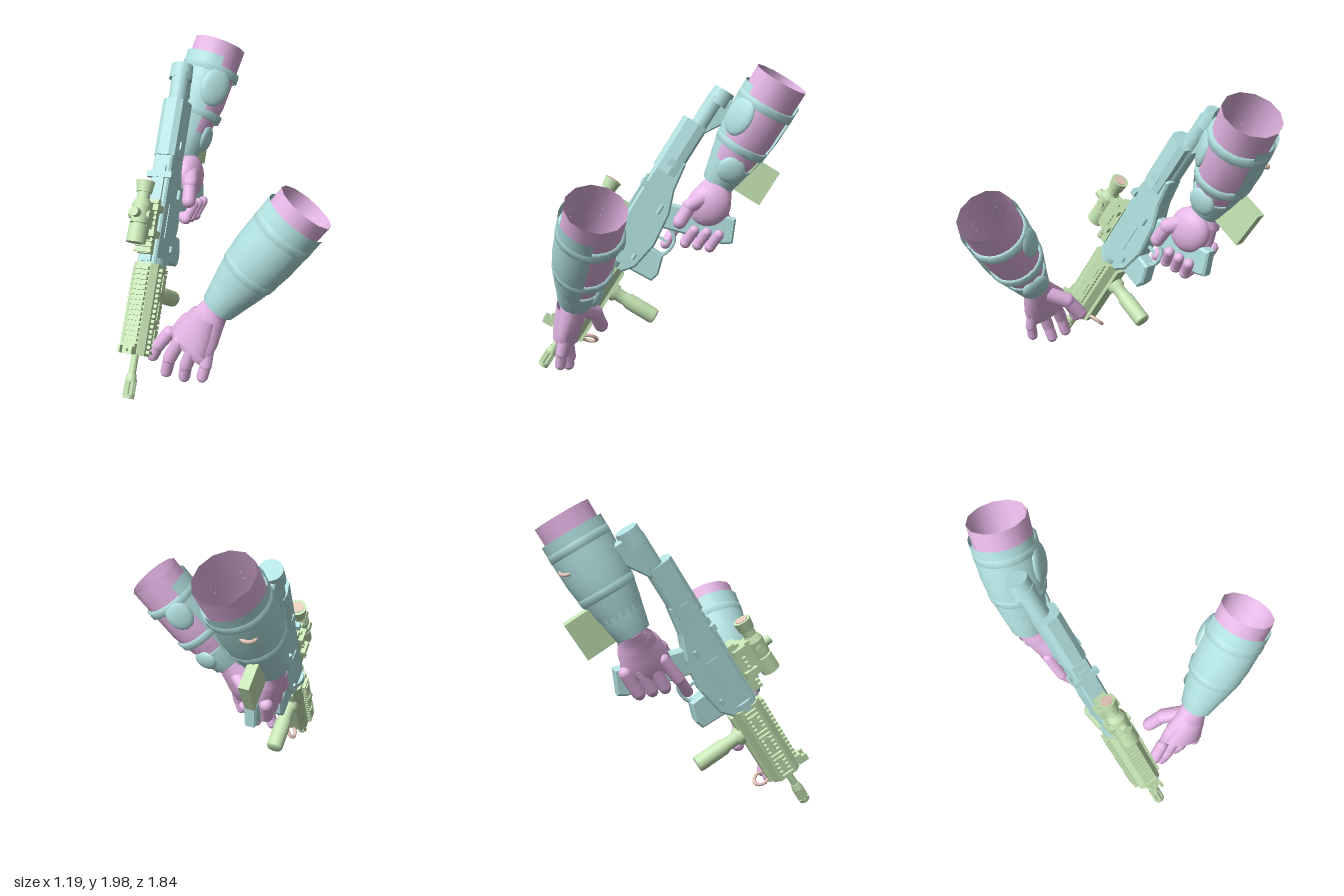
import * as THREE from 'three';

const V = (x, y, z) => new THREE.Vector3(x, y, z);
const mat = (name, color) => {
  const m = new THREE.MeshStandardMaterial({ color, side: THREE.DoubleSide });
  m.name = name;
  return m;
};

export function createModel() {
  const teal = mat('teal', 0xb2e1e1), pink = mat('pink', 0xe7b8e7);
  const green = mat('green', 0xc5e4b3), tan = mat('tan', 0xefcec0);
  const model = new THREE.Group();
  const add = (parent, name, geo, m, x = 0, y = 0, z = 0) => {
    const mesh = new THREE.Mesh(geo, m);
    mesh.name = name;
    mesh.position.set(x, y, z);
    parent.add(mesh);
    return mesh;
  };

  // Skin over elliptical rings [centre, radius along wide, other radius]
  const loft = (rings, wide, a0 = 0, a1 = Math.PI * 2, n = 18) => {
    const w = rings[rings.length - 1][0].clone().sub(rings[0][0]).normalize();
    const u = wide.clone().addScaledVector(w, -wide.dot(w)).normalize();
    const v = w.clone().cross(u);
    const full = a1 - a0 > 6.28, cols = full ? n : n + 1, pos = [], idx = [];
    for (const [c, r1, r2] of rings) for (let j = 0; j < cols; j++) {
      const a = a0 + (a1 - a0) * j / n;
      const p = c.clone().addScaledVector(u, r1 * Math.cos(a)).addScaledVector(v, r2 * Math.sin(a));
      pos.push(p.x, p.y, p.z);
    }
    for (let i = 0; i < rings.length - 1; i++) for (let j = 0; j < n; j++) {
      const k = (j + 1) % cols, a = i * cols + j, b = i * cols + k;
      idx.push(a, b, a + cols, b, b + cols, a + cols);
    }
    const g = new THREE.BufferGeometry();
    g.setAttribute('position', new THREE.Float32BufferAttribute(pos, 3));
    g.setIndex(idx);
    g.computeVertexNormals();
    return g;
  };

  // Finger made of tapering capsules
  const finger = (parent, name, pts, r) => {
    for (let i = 0; i < pts.length - 1; i++) {
      const d = pts[i + 1].clone().sub(pts[i]), c = pts[i].clone().addScaledVector(d, 0.5);
      const f = add(parent, name, new THREE.CapsuleGeometry(r * (1 - 0.09 * i), d.length(), 5, 10), pink, c.x, c.y, c.z);
      f.quaternion.setFromUnitVectors(V(0, 1, 0), d.normalize());
    }
  };

  // Forearm with partial guard over an arc, cuff, straps and pads [along, around, length, width]
  const forearm = (name, wrist, elbow, open, guardEnd, arc, pads) => {
    const g = new THREE.Group();
    g.name = name;
    model.add(g);
    const at = t => wrist.clone().lerp(elbow, t);
    const prof = [[0, 0.085], [0.12, 0.1], [0.3, 0.143], [0.5, 0.171], [0.7, 0.174], [1, 0.178]];
    const rad = t => {
      const i = Math.max(1, prof.findIndex(p => p[0] >= t));
      const [t0, r0] = prof[i - 1], [t1, r1] = prof[i];
      return r0 + (r1 - r0) * (t - t0) / (t1 - t0);
    };
    const axis = elbow.clone().sub(wrist).normalize();
    const out = open.clone().addScaledVector(axis, -open.dot(axis)).normalize();
    const side = axis.clone().cross(out), back = out.clone().negate();
    const ring = (t, extra) => [at(t), rad(t) + extra, rad(t) + extra];
    add(g, 'sleeve', loft(prof.map(p => ring(p[0], 0)), out, 0, Math.PI * 2, 12), pink);
    add(g, 'guard', loft([0.1, 0.25, 0.4, 0.55, 0.7, guardEnd].map(t => ring(t, 0.018)), back, arc[0], arc[1], 20), teal);
    const band = (nm, t0, t1, th) =>
      add(g, nm, loft([ring(t0, 0), ring(t0 + 0.005, th), ring(t1 - 0.005, th), ring(t1, 0)], out), teal);
    band('cuff', 0.03, 0.24, 0.018);
    band('lowerStrap', 0.36, 0.43, 0.021);
    band('upperStrap', 0.73, 0.8, 0.021);
    for (const [t, s, l, w] of pads) {
      const n = out.clone().multiplyScalar(Math.cos(s)).addScaledVector(side, Math.sin(s));
      const p = at(t).addScaledVector(n, rad(t) + 0.004);
      const pad = add(g, 'pad', new THREE.SphereGeometry(1, 14, 10, 0, Math.PI), teal, p.x, p.y, p.z);
      pad.scale.set(w, l, 0.035);
      pad.quaternion.setFromRotationMatrix(new THREE.Matrix4().makeBasis(axis.clone().cross(n), axis, n));
    }
    return g;
  };

  forearm('leftForearm', V(-0.035, 0.61, 0.54), V(0.425, 1.28, 0.74), V(0.7, -0.4, -0.6), 0.9, [-1.95, 1.95],
    [[0.67, 0.75, 0.11, 0.085], [0.2, 0, 0.08, 0.09]]);
  const rightArm = forearm('rightForearm', V(0.08, 1.2, -0.55), V(0.435, 1.905, -0.76), V(0.72, -0.3, 0.6), 0.87, [-2.2, 2.1],
    [[0.62, -0.95, 0.13, 0.1], [0.22, -0.1, 0.09, 0.09]]);
  add(rightArm, 'guardRing', new THREE.TorusGeometry(0.048, 0.011, 6, 16), tan, 0.335, 1.6, -0.83).rotation.x = 1.15;

  // Left hand, open and pointing down
  const left = new THREE.Group();
  left.name = 'leftHand';
  model.add(left);
  const across = V(-0.6, 0.1, -0.78);
  add(left, 'palm', loft([
    [V(-0.02, 0.64, 0.54), 0.08, 0.08], [V(-0.065, 0.56, 0.525), 0.105, 0.082],
    [V(-0.125, 0.46, 0.5), 0.15, 0.076], [V(-0.175, 0.37, 0.48), 0.16, 0.064], [V(-0.2, 0.33, 0.475), 0.125, 0.028],
  ], across), pink);
  add(left, 'backPlate', loft([
    [V(-0.085, 0.58, 0.535), 0.085, 0.083], [V(-0.14, 0.47, 0.515), 0.12, 0.081], [V(-0.185, 0.39, 0.5), 0.135, 0.069],
  ], across), pink);
  finger(left, 'indexFinger', [V(-0.27, 0.41, 0.37), V(-0.33, 0.32, 0.34), V(-0.36, 0.24, 0.315)], 0.042);
  finger(left, 'middleFinger', [V(-0.23, 0.38, 0.44), V(-0.28, 0.26, 0.41), V(-0.295, 0.155, 0.385)], 0.042);
  finger(left, 'ringFinger', [V(-0.17, 0.36, 0.52), V(-0.2, 0.24, 0.49), V(-0.205, 0.15, 0.465)], 0.041);
  finger(left, 'littleFinger', [V(-0.09, 0.38, 0.575), V(-0.11, 0.28, 0.59), V(-0.13, 0.2, 0.585)], 0.038);
  finger(left, 'thumb', [V(-0.06, 0.55, 0.47), V(-0.09, 0.49, 0.34), V(-0.13, 0.38, 0.26)], 0.05);

  // Rifle frame: x runs from muzzle to stock, y is its top, z its side
  const gun = new THREE.Group();
  gun.name = 'rifle';
  const ax = V(0.304, 0.845, -0.44).normalize(), up = V(-0.583, 0.528, 0.615);
  up.addScaledVector(ax, -up.dot(ax)).normalize();
  gun.quaternion.setFromRotationMatrix(new THREE.Matrix4().makeBasis(ax, up, ax.clone().cross(up)));
  gun.position.set(-0.55, 0.03, 0.42);
  model.add(gun);
  const box = (name, m, x0, x1, y0, y1, z0, z1) =>
    add(gun, name, new THREE.BoxGeometry(x1 - x0, y1 - y0, z1 - z0), m, (x0 + x1) / 2, (y0 + y1) / 2, (z0 + z1) / 2);
  const rod = (name, m, x0, x1, r0, r1 = r0, y = 0, n = 18, z = 0) =>
    add(gun, name, new THREE.CylinderGeometry(r1, r0, x1 - x0, n).rotateZ(-Math.PI / 2), m, (x0 + x1) / 2, y, z);
  const shape = pts => new THREE.Shape(pts.map(p => new THREE.Vector2(p[0], p[1])));
  const slab = (name, m, pts, w, z = 0) => {
    const b = Math.min(0.012, w / 5);
    return add(gun, name, new THREE.ExtrudeGeometry(shape(pts), { depth: w - 2 * b, bevelSize: b, bevelThickness: b, bevelSegments: 1 })
      .translate(0, 0, b - w / 2), m, 0, 0, z);
  };
  const bar = (name, m, pts, x0, x1) =>
    add(gun, name, new THREE.ExtrudeGeometry(shape(pts), { depth: x1 - x0, bevelEnabled: false }).rotateY(Math.PI / 2), m, x0);

  // Barrel and slotted muzzle
  rod('barrel', green, 0.1, 0.3, 0.023);
  rod('muzzle', green, 0, 0.025, 0.034, 0.037);
  rod('muzzleCore', green, 0.01, 0.12, 0.026);
  rod('muzzleCollar', green, 0.105, 0.15, 0.037, 0.028);
  for (let i = 0; i < 6; i++) {
    const a = i * Math.PI / 3;
    rod('muzzleProng', green, 0.02, 0.115, 0.012, 0.012, Math.cos(a) * 0.026, 6, Math.sin(a) * 0.026);
  }

  // Eight sided handguard with toothed rails and a smooth underside
  bar('handguard', green, [[-0.045, -0.11], [0.045, -0.11], [0.082, -0.07], [0.082, 0.05], [0.045, 0.085], [-0.045, 0.085], [-0.082, 0.05], [-0.082, -0.07]], 0.265, 0.83);
  box('bottomCover', green, 0.28, 0.81, -0.132, -0.105, -0.045, 0.045);
  for (let i = 0; i < 17; i++) {
    const x = 0.28 + i * 0.0315, e = x + 0.02;
    box('topTooth', green, x, e, 0.08, 0.108, -0.042, 0.042);
    for (const k of [-1, 1]) box('sideTooth', green, x, e, -0.05, 0.03, k * 0.09 - 0.014, k * 0.09 + 0.014);
  }
  for (const k of [-1, 1]) for (let i = 0; i < 3; i++)
    box('coverPlate', green, 0.32 + i * 0.17, 0.43 + i * 0.17, -0.03, 0.005, k * 0.105 - 0.004, k * 0.105 + 0.004);
  // Front sight, foregrip and sling loop
  box('sightBase', green, 0.265, 0.33, 0.09, 0.125, -0.045, 0.045);
  for (const k of [-1, 1]) box('sightWing', green, 0.265, 0.31, 0.11, 0.16, k * 0.04 - 0.008, k * 0.04 + 0.008);
  box('sightPost', green, 0.28, 0.295, 0.12, 0.15, -0.007, 0.007);
  add(gun, 'foregrip', new THREE.LatheGeometry([[0, -0.46], [0.045, -0.46], [0.053, -0.445], [0.053, -0.26], [0.043, -0.235], [0.043, -0.17], [0.058, -0.16], [0.058, -0.12]]
    .map(p => new THREE.Vector2(...p)), 20), green, 0.668, 0, -0.012);
  const loop = add(gun, 'slingLoop', new THREE.TorusGeometry(0.045, 0.012, 6, 16), tan, 0.32, -0.165, 0);
  loop.quaternion.setFromUnitVectors(V(0, 0, 1), V(-0.66, -0.35, 0.66).normalize());
  loop.scale.set(0.85, 1.2, 1);

  // Receiver, magazine well and controls
  slab('receiver', teal, [[0.83, -0.1], [0.83, 0.055], [1.5, 0.06], [1.62, 0.04], [1.62, -0.08], [1.45, -0.105], [1.3, -0.16], [1.08, -0.185], [0.9, -0.155]], 0.125);
  rod('barrelNut', teal, 0.81, 0.87, 0.085, 0.085, -0.01);
  slab('magazineWell', teal, [[0.87, -0.1], [1.05, -0.1], [1.04, -0.275], [0.93, -0.31], [0.88, -0.295]], 0.1);
  box('topRib', teal, 0.84, 1.45, 0.05, 0.085, -0.035, 0.035);
  box('chargingHandle', teal, 1.37, 1.41, 0.055, 0.09, -0.085, 0.085);
  for (const k of [-1, 1]) {
    box('sidePanel', teal, 1.0, 1.22, -0.08, 0.0, k * 0.064 - 0.004, k * 0.064 + 0.004);
    rod('selector', teal, 1.27, 1.33, 0.012, 0.012, -0.1, 8, k * 0.07);
    rod('pin', teal, 0.93, 0.97, 0.012, 0.012, -0.12, 8, k * 0.066);
  }
  add(gun, 'triggerGuard', new THREE.TubeGeometry(new THREE.CatmullRomCurve3([V(1.03, -0.22, 0), V(1.06, -0.285, 0), V(1.17, -0.295, 0), V(1.25, -0.19, 0)]), 14, 0.013, 6), teal);
  box('trigger', teal, 1.13, 1.145, -0.26, -0.18, -0.01, 0.01);
  slab('pistolGrip', teal, [[1.2, -0.14], [1.35, -0.14], [1.49, -0.55], [1.36, -0.61], [1.33, -0.57]], 0.075);

  // Stock with cheek piece and round end
  rod('stockTube', teal, 1.5, 2.1, 0.058, 0.058, -0.035, 18, -0.02);
  bar('cheekPiece', teal, [[-0.075, -0.07], [0.075, -0.07], [0.085, -0.02], [0.07, 0.06], [0.035, 0.085], [-0.035, 0.085], [-0.07, 0.06], [-0.085, -0.02]], 1.52, 1.89);
  box('cheekSlot', teal, 1.57, 1.62, -0.03, 0.02, -0.088, 0.088);
  rod('stockCap', teal, 2.06, 2.16, 0.076, 0.07, -0.055, 18, -0.03);
  slab('buttPlate', teal, [[1.98, -0.03], [2.12, -0.03], [2.12, -0.2], [2.06, -0.2], [1.86, -0.08]], 0.09, -0.03);

  // Sight on a toothed riser
  box('riser', green, 0.88, 1.22, 0.08, 0.13, -0.045, 0.045);
  for (let i = 0; i < 10; i++) box('riserTooth', green, 0.885 + i * 0.034, 0.905 + i * 0.034, 0.125, 0.15, -0.058, 0.058);
  box('scopeMount', green, 0.96, 1.18, 0.14, 0.22, -0.04, 0.04);
  for (const x of [0.98, 1.14]) box('mountClamp', green, x, x + 0.04, 0.09, 0.18, -0.075, 0.075);
  rod('scopeTube', green, 0.95, 1.27, 0.04, 0.04, 0.25);
  rod('scopeObjective', green, 0.92, 1.03, 0.061, 0.057, 0.25);
  rod('scopeBody', green, 1.04, 1.15, 0.056, 0.06, 0.25);
  rod('scopeNeck', green, 1.15, 1.19, 0.06, 0.042, 0.25);
  rod('scopeEyepiece', green, 1.23, 1.3, 0.048, 0.057, 0.25);
  rod('eyeLens', tan, 1.298, 1.304, 0.039, 0.039, 0.25);
  add(gun, 'turret', new THREE.CylinderGeometry(0.028, 0.03, 0.05, 14), green, 1.095, 0.32, 0);
  add(gun, 'sideTurret', new THREE.CylinderGeometry(0.026, 0.028, 0.14, 14).rotateX(Math.PI / 2), green, 1.095, 0.25, 0);

  // Flat square pouch behind the wrist
  box('pouch', green, 1.655, 1.905, -0.645, -0.395, -0.08, -0.02);

  // Right hand closed round the grip
  const right = new THREE.Group();
  right.name = 'rightHand';
  gun.add(right);
  add(right, 'palm', loft([
    [V(1.66, -0.35, -0.085), 0.085, 0.085], [V(1.58, -0.355, -0.06), 0.105, 0.09], [V(1.48, -0.37, -0.035), 0.145, 0.095],
    [V(1.39, -0.38, -0.03), 0.15, 0.085], [V(1.33, -0.39, -0.03), 0.1, 0.05],
  ], V(0, 1, 0)), pink);
  add(right, 'thumbBase', new THREE.SphereGeometry(1, 18, 12), pink, 1.49, -0.36, 0.01).scale.set(0.15, 0.14, 0.085);
  add(right, 'wristBand', loft([
    [V(1.61, -0.35, -0.07), 0.105, 0.095], [V(1.56, -0.36, -0.055), 0.12, 0.1],
  ], V(0, 1, 0)), pink);
  for (let i = 0; i < 3; i++) {
    const y = -0.36 - i * 0.075, x = i * 0.03;
    finger(right, 'gripFinger', [V(1.4 + x, y, -0.075), V(1.25 + x, y, -0.06), V(1.2 + x, y, 0.03), V(1.3 + x, y, 0.07)], 0.041);
  }
  finger(right, 'indexFinger', [V(1.4, -0.28, -0.08), V(1.24, -0.265, -0.07), V(1.12, -0.26, -0.02)], 0.038);
  finger(right, 'thumb', [V(1.5, -0.3, 0.04), V(1.42, -0.25, 0.07), V(1.3, -0.25, 0.08)], 0.05);

  return model;
}
